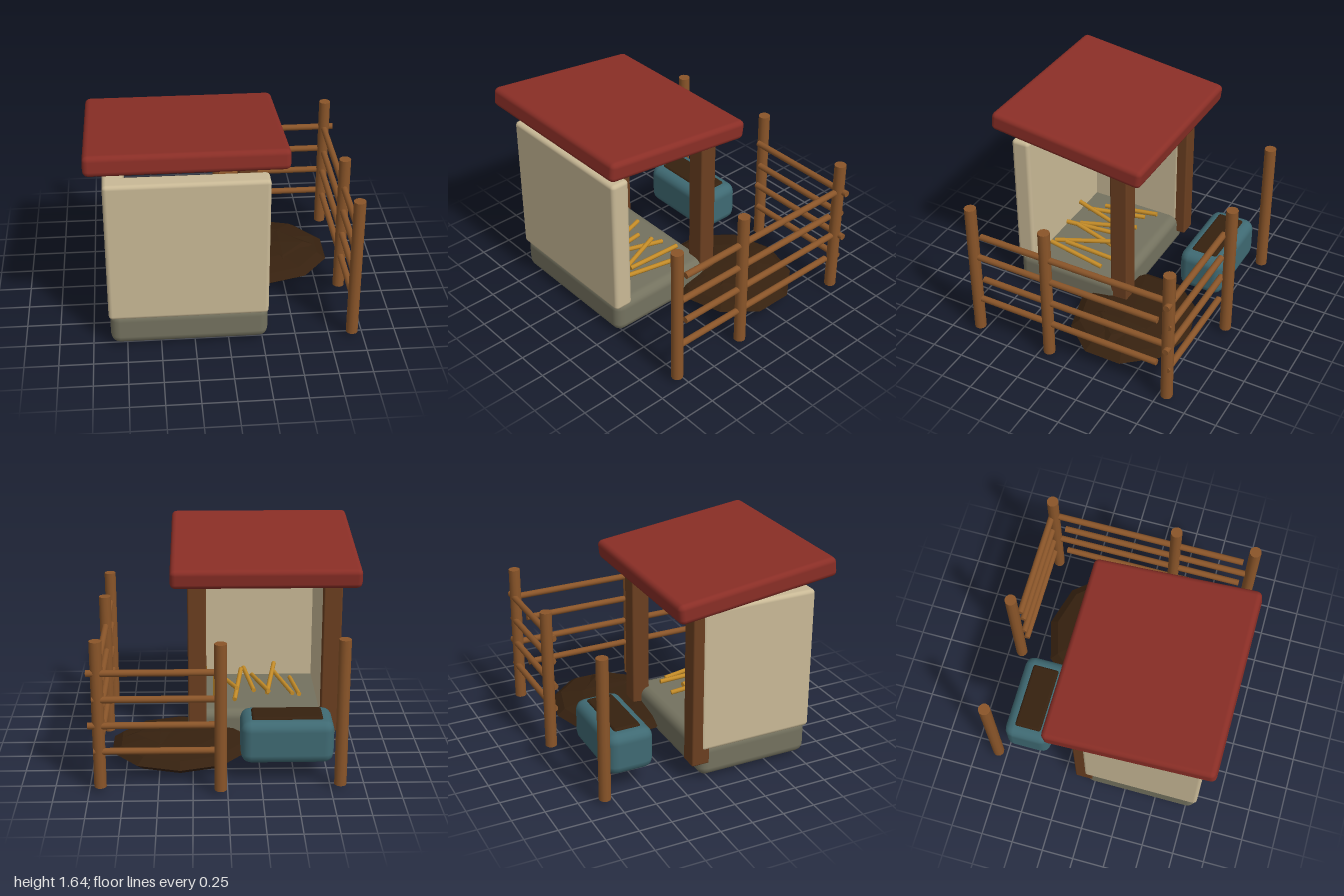
import * as THREE from 'three';
import { RoundedBoxGeometry } from 'three/addons/geometries/RoundedBoxGeometry.js';

const mat = (name, color, flatShading = false) => {
  const m = new THREE.MeshStandardMaterial({ color, flatShading });
  m.name = name;
  return m;
};

export function createModel() {
  const root = new THREE.Group();
  root.name = 'animalShelter';
  const roofRed = mat('roofRed', 0x8a2e26);
  const plaster = mat('plaster', 0xc9b996);
  const stone = mat('stone', 0x74725f);
  const fenceWood = mat('fenceWood', 0x8a5529);
  const darkWood = mat('darkWood', 0x6b3f20);
  const troughBlue = mat('troughBlue', 0x3f6a73);
  const mud = mat('mud', 0x36210f, true);
  const straw = mat('straw', 0xc48c28);

  const group = (name) => {
    const g = new THREE.Group();
    g.name = name;
    root.add(g);
    return g;
  };

  // Rounded box given by its min and max on each axis
  const block = (name, material, [x0, x1], [y0, y1], [z0, z1], radius, parent = root) => {
    const mesh = new THREE.Mesh(
      new RoundedBoxGeometry(x1 - x0, y1 - y0, z1 - z0, 2, radius), material);
    mesh.position.set((x0 + x1) / 2, (y0 + y1) / 2, (z0 + z1) / 2);
    mesh.name = name;
    parent.add(mesh);
    return mesh;
  };

  // Cylinder running between two points
  const rod = (name, material, a, b, radius, parent, sides = 12) => {
    const from = new THREE.Vector3(...a), to = new THREE.Vector3(...b);
    const dir = to.clone().sub(from);
    const mesh = new THREE.Mesh(
      new THREE.CylinderGeometry(radius, radius, dir.length(), sides), material);
    mesh.position.copy(from).add(to).multiplyScalar(0.5);
    mesh.quaternion.setFromUnitVectors(new THREE.Vector3(0, 1, 0), dir.normalize());
    mesh.name = name;
    parent.add(mesh);
  };

  // Hut: stone base, two walls, two back posts, sloping roof
  const hut = group('hut');
  block('base', stone, [-0.87, 0.29], [0.03, 0.3], [-0.08, 0.82], 0.07, hut);
  block('frontWall', plaster, [-0.88, 0.29], [0.26, 1.375], [0.68, 0.83], 0.03, hut);
  block('sideWall', plaster, [-0.88, -0.73], [0.26, 1.375], [-0.08, 0.82], 0.03, hut);
  for (const x of [-0.805, 0.215]) {
    block('backPost', darkWood, [x - 0.07, x + 0.07], [0.15, 1.41], [-0.15, -0.01], 0.012, hut);
  }
  const roof = block('roof', roofRed, [-1, 0.41], [1.43, 1.58], [-0.325, 0.925], 0.04, hut);
  roof.rotation.x = -0.12;

  // Straw bedding
  const bedding = group('straw');
  for (let i = 0; i < 9; i++) {
    const x = -0.58 + i * 0.09;
    const z = 0.03 + ((i * 4) % 9) * 0.022;
    const skew = 0.06 * Math.sin(i * 2.3);
    const lift = 0.03 * (i % 3);
    rod('strawStalk', straw, [x - skew, 0.39 - lift, z],
      [x + 0.04 + skew, 0.345 + lift, z + 0.46], 0.018, bedding, 8);
  }

  // Fence posts
  const fence = group('fence');
  for (const [x, z] of [[0.92, 0.79], [0.92, 0.17], [0.92, -0.82], [0.05, -0.89], [-0.82, -0.82]]) {
    rod('fencePost', fenceWood, [x, 0.04, z], [x, 1.16, z], 0.045, fence);
  }
  // Fence rails, alternating in reach
  for (let i = 0; i < 4; i++) {
    const y = 0.325 + i * 0.2;
    const odd = i % 2;
    rod('sideRail', fenceWood, [0.92, y, odd ? 0.715 : 0.75],
      [0.92, y, odd ? -0.8 : -0.735], 0.025, fence);
    rod('backRail', fenceWood, [odd ? 0.055 : 0.08, y, -0.835],
      [odd ? 0.995 : 0.96, y, -0.835], 0.025, fence);
  }

  // Feeding trough
  const trough = group('trough');
  block('troughBody', troughBlue, [-0.78, -0.1], [0.16, 0.49], [-0.76, -0.4], 0.075, trough);
  block('troughFeed', mud, [-0.7, -0.18], [0.42, 0.505], [-0.685, -0.475], 0.02, trough);

  // Mud wallow: flattened low-poly mounds
  const wallow = group('mudWallow');
  const mound = (name, sides, rings, turn, [rx, ry, rz], [x, y, z]) => {
    const geo = new THREE.SphereGeometry(1, sides, rings);
    geo.rotateY(turn);
    geo.scale(rx, ry, rz);
    const mesh = new THREE.Mesh(geo, mud);
    mesh.position.set(x, y, z);
    mesh.name = name;
    wallow.add(mesh);
  };
  mound('mudMound', 10, 6, Math.PI / 10, [0.54, 0.095, 0.47], [0.345, 0.105, -0.25]);
  mound('mudClod', 4, 4, 0, [0.27, 0.04, 0.27], [0.5, 0.162, -0.235]);

  return root;
}
